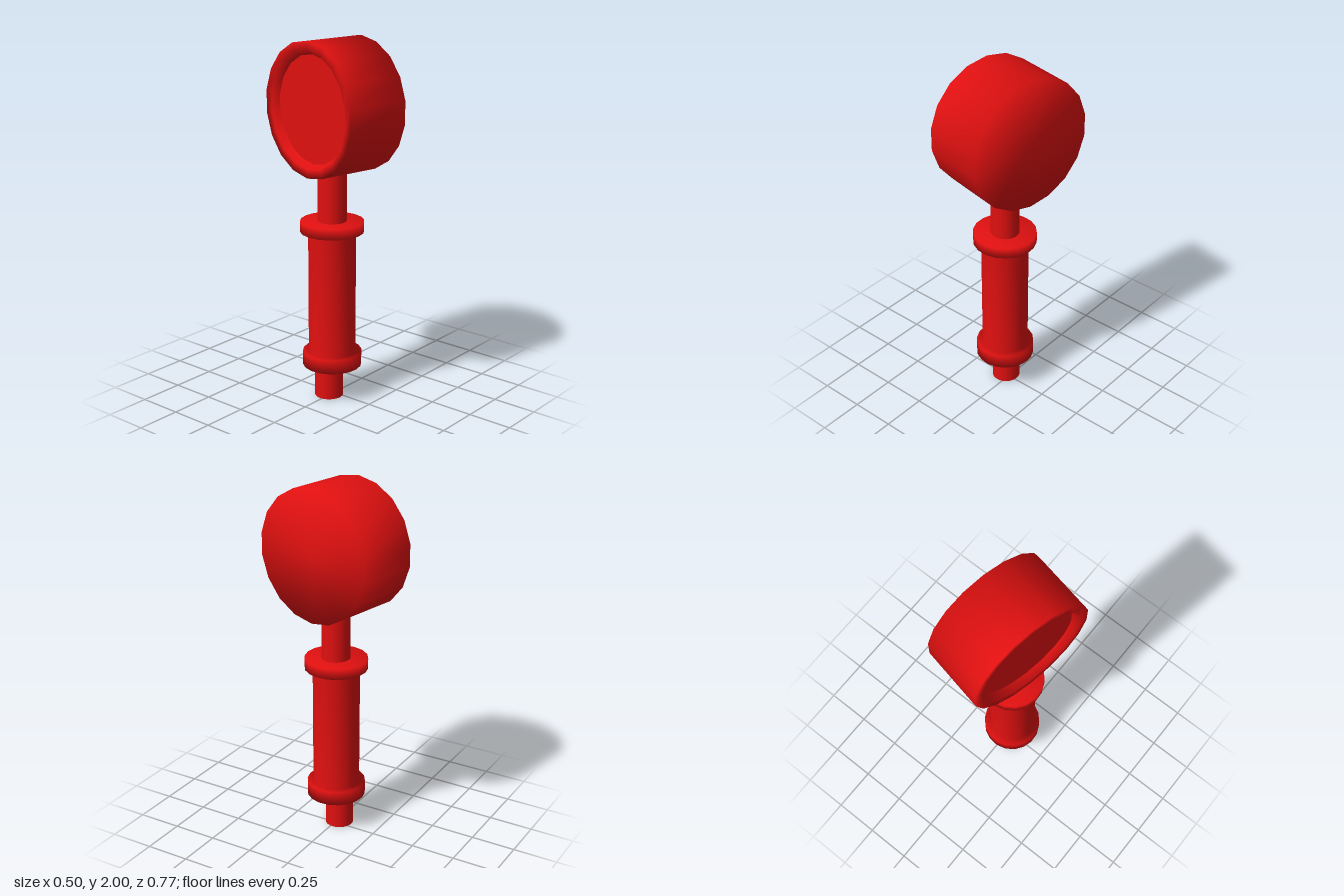
import * as THREE from 'three';

const SIDES = 18;

export function createModel() {
  const group = new THREE.Group();
  const red = new THREE.MeshStandardMaterial({ color: 0xe01010 });
  red.name = 'red';

  // Turned part: profile of [radius, height] pairs, from bottom to top
  const turned = (profile, turn) =>
    new THREE.LatheGeometry(profile.map(([r, y]) => new THREE.Vector2(r, y)), SIDES)
      .rotateY(THREE.MathUtils.degToRad(turn));

  const add = (name, geometry, x, y, z) => {
    const mesh = new THREE.Mesh(geometry, red);
    mesh.name = name;
    mesh.position.set(x, y, z);
    group.add(mesh);
    return mesh;
  };

  // Grip with its two collars, one softly shaded profile
  add('grip', turned([
    [0, 0.19], [0.163, 0.19], [0.163, 0.27], [0.13, 0.27],
    [0.13, 0.96], [0.174, 0.96], [0.174, 1.02], [0, 1.02],
  ], 4.4), -0.024, 0, 0.005);

  // Stub under the grip and neck between grip and head
  add('stub', new THREE.CylinderGeometry(0.079, 0.079, 0.21, SIDES), -0.031, 0.105, -0.012);
  add('neck', new THREE.CylinderGeometry(0.079, 0.079, 0.36, SIDES), -0.022, 1.18, 0.005);

  // Drum head lying on its side, turned slightly about the vertical
  const lay = (geometry) => geometry.rotateZ(-Math.PI / 2).rotateY(THREE.MathUtils.degToRad(-11.6));
  add('head', lay(turned([
    [0.29, -0.143], [0.315, -0.181], [0.362, -0.181], [0.362, 0.181], [0, 0.181],
  ], 10)), 0, 1.638, 0);

  // Flat disc sunk into the rim on one end
  add('recessedDisc', lay(turned([[0, -0.143], [0.29, -0.143]], 10)), 0, 1.638, 0);

  return group;
}
